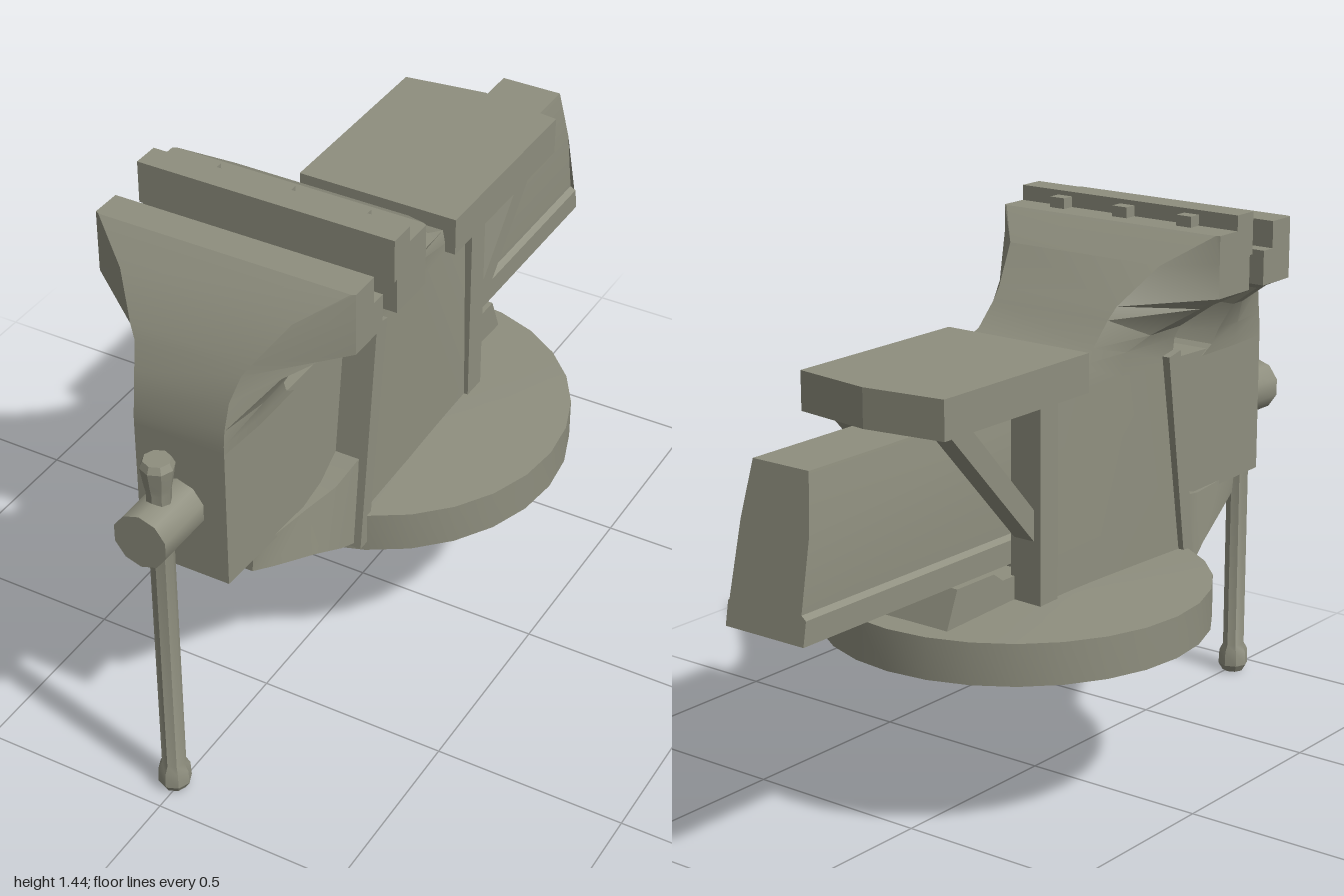
import * as THREE from 'three';
import { toCreasedNormals } from 'three/addons/utils/BufferGeometryUtils.js';

// Skin a closed solid over rings of [x, y, z] points, facing outward.
function loft(rings) {
  const n = rings[0].length, pos = rings.flat(2), idx = [];
  for (let r = 0; r < rings.length - 1; r++) {
    for (let i = 0; i < n; i++) {
      const a = r * n + i, b = r * n + (i + 1) % n;
      idx.push(a, b, b + n, a, b + n, a + n);
    }
  }
  const last = (rings.length - 1) * n;
  for (let i = 1; i < n - 1; i++) idx.push(0, i + 1, i, last, last + i, last + i + 1);
  // flip all faces if the signed volume is negative
  const v = (i) => new THREE.Vector3().fromArray(pos, i * 3);
  let volume = 0;
  for (let i = 0; i < idx.length; i += 3) volume += v(idx[i]).dot(v(idx[i + 1]).cross(v(idx[i + 2])));
  if (volume < 0) idx.reverse();
  const g = new THREE.BufferGeometry();
  g.setAttribute('position', new THREE.Float32BufferAttribute(pos, 3));
  g.setIndex(idx);
  return g;
}

// Horizontal ring, mirrored in x, from three [halfWidth, z] corners.
const levelRing = ([y, ...corners]) => [
  ...corners.map(([w, z]) => [w, y, z]),
  ...corners.slice().reverse().map(([w, z]) => [-w, y, z]),
];

// Side profile of [z, y] points, extruded from x0 to x1.
const sidePlate = (profile, x0, x1) => loft([x0, x1].map((x) => profile.map(([z, y]) => [x, y, z])));

export function createModel() {
  const model = new THREE.Group();
  model.name = 'benchVise';
  const metal = new THREE.MeshStandardMaterial({ color: 0x8e8e7e });
  metal.name = 'greyMetal';
  const add = (name, geometry, x = 0, y = 0, z = 0, crease = 0.45) => {
    const mesh = new THREE.Mesh(toCreasedNormals(geometry, crease), metal);
    mesh.name = name;
    mesh.position.set(x, y, z);
    model.add(mesh);
    return mesh;
  };
  const box = (name, w, h, d, x, y, z) => add(name, new THREE.BoxGeometry(w, h, d), x, y, z);

  // Round base with a slightly raised middle
  const baseProfile = [[0, 0.44], [0.5, 0.44], [0.5, 0.548], [0.2, 0.56], [0, 0.56]];
  add('base', new THREE.LatheGeometry(baseProfile.map((p) => new THREE.Vector2(...p)), 28), 0, 0, -0.08);

  // Fixed body sweeping up into the rear jaw: rear, middle and front corners per level
  add('fixedBody', loft([
    [0.5, [0.2, -0.2], [0.205, 0.1], [0.205, 0.37]],
    [1.06, [0.19, -0.2], [0.195, 0.1], [0.2, 0.31]],
    [1.12, [0.185, -0.07], [0.195, 0.12], [0.2, 0.32]],
    [1.15, [0.18, 0], [0.21, 0.2], [0.21, 0.33]],
    [1.21, [0.18, 0.06], [0.29, 0.3], [0.29, 0.36]],
    [1.24, [0.185, 0.09], [0.34, 0.31], [0.34, 0.445]],
    [1.33, [0.235, 0.2], [0.34, 0.31], [0.34, 0.445]],
    [1.33, [0.235, 0.2], [0.34, 0.31], [0.34, 0.39]],
    [1.4, [0.33, 0.305], [0.34, 0.31], [0.34, 0.39]],
  ].map(levelRing)));
  box('rearJawPlate', 0.68, 0.11, 0.07, 0, 1.385, 0.422);
  for (const x of [-0.2, 0, 0.2]) box('jawBolt', 0.045, 0.04, 0.04, x, 1.408, 0.372);

  // Slanted collar at the front of the body
  add('frontCollar', sidePlate([[0.4, 0.465], [0.36, 0.465], [0.27, 1.08], [0.32, 1.09]], -0.22, 0.22));

  // Anvil with a shallow pointed rear edge
  const anvil = [[0.22, -0.07], [0.22, -0.62], [0, -0.65], [-0.22, -0.62], [-0.22, -0.07]];
  add('anvil', loft([1.06, 1.16].map((y) => anvil.map(([x, z]) => [x, y, z]))), 0, 0, 0, 0.05);

  // Rear ribs and diagonal anvil braces
  for (const s of [-1, 1]) {
    add('rearRib', sidePlate([[-0.18, 0.55], [-0.25, 0.55], [-0.25, 1.07], [-0.18, 1.07]], s * 0.12, s * 0.21));
    add('anvilBrace', sidePlate([[-0.24, 0.71], [-0.24, 0.79], [-0.5, 1.07], [-0.58, 1.07]], s * 0.13, s * 0.19));
  }
  add('rearFoot', sidePlate([[-0.2, 0.55], [-0.51, 0.55], [-0.47, 0.645], [-0.33, 0.645], [-0.31, 0.62], [-0.2, 0.62]], -0.13, 0.13));

  // Slide bar with a bottom flange and a raked rear end
  const half = [[0.12, 0.65], [0.12, 0.71], [0.105, 0.72], [0.105, 0.9], [0.085, 1.04]];
  const section = [...half, ...half.slice().reverse().map(([x, y]) => [-x, y])];
  add('slideBar', loft([
    section.map(([x, y]) => [x, y, 0.3]),
    section.map(([x, y]) => [x, y, -1 + (y - 0.65) * 0.18]),
  ]), 0, 0, 0, 0.2);

  // Moving body and the front jaw growing out of it
  add('movingBody', sidePlate([[0.84, 0.64], [0.84, 1.02], [0.3, 1.04], [0.3, 0.72], [0.42, 0.66], [0.5, 0.64]], -0.135, 0.135));
  const moving = model.children[model.children.length - 1].geometry.attributes.position;
  for (let i = 0; i < moving.count; i++) if (moving.getZ(i) > 0.8) moving.setX(i, moving.getX(i) * 0.89);
  add('frontJaw', loft([
    [1.015, [0.12, 0.84], [0.13, 0.7], [0.13, 0.55]],
    [1.04, [0.12, 0.84], [0.133, 0.7], [0.133, 0.59]],
    [1.08, [0.12, 0.835], [0.14, 0.7], [0.14, 0.612]],
    [1.15, [0.125, 0.82], [0.18, 0.66], [0.18, 0.617]],
    [1.21, [0.14, 0.79], [0.27, 0.635], [0.27, 0.59]],
    [1.24, [0.16, 0.775], [0.34, 0.63], [0.34, 0.51]],
    [1.33, [0.225, 0.71], [0.34, 0.63], [0.34, 0.51]],
    [1.33, [0.225, 0.71], [0.34, 0.63], [0.34, 0.55]],
    [1.4, [0.33, 0.635], [0.34, 0.63], [0.34, 0.55]],
  ].map(levelRing)));

  // Flared apron under the moving body: z, half widths at bottom and top, bottom, top
  add('lowerApron', loft([
    [0.73, 0.115, 0.12, 0.595, 0.65],
    [0.66, 0.13, 0.125, 0.565, 0.65],
    [0.52, 0.165, 0.145, 0.515, 0.65],
    [0.44, 0.19, 0.175, 0.485, 0.67],
    [0.36, 0.21, 0.2, 0.465, 0.72],
  ].map(([z, wb, wt, b, t]) => [[wb, b, z], [wt, t, z], [-wt, t, z], [-wb, b, z]])));

  // Screw head and sliding handle
  const screw = new THREE.CylinderGeometry(0.072, 0.072, 0.18, 10).rotateX(Math.PI / 2);
  add('screwHead', screw, -0.01, 0.828, 0.91, 0.7);
  const handle = [[0, 0], [0.03, 0], [0.042, 0.02], [0.04, 0.06], [0.03, 0.08],
    [0.03, 0.92], [0.034, 0.94], [0.042, 0.99], [0.034, 1.008], [0, 1.008]];
  add('handle', new THREE.LatheGeometry(handle.map((p) => new THREE.Vector2(...p)), 8), -0.01, 0, 0.915);

  return model;
}
